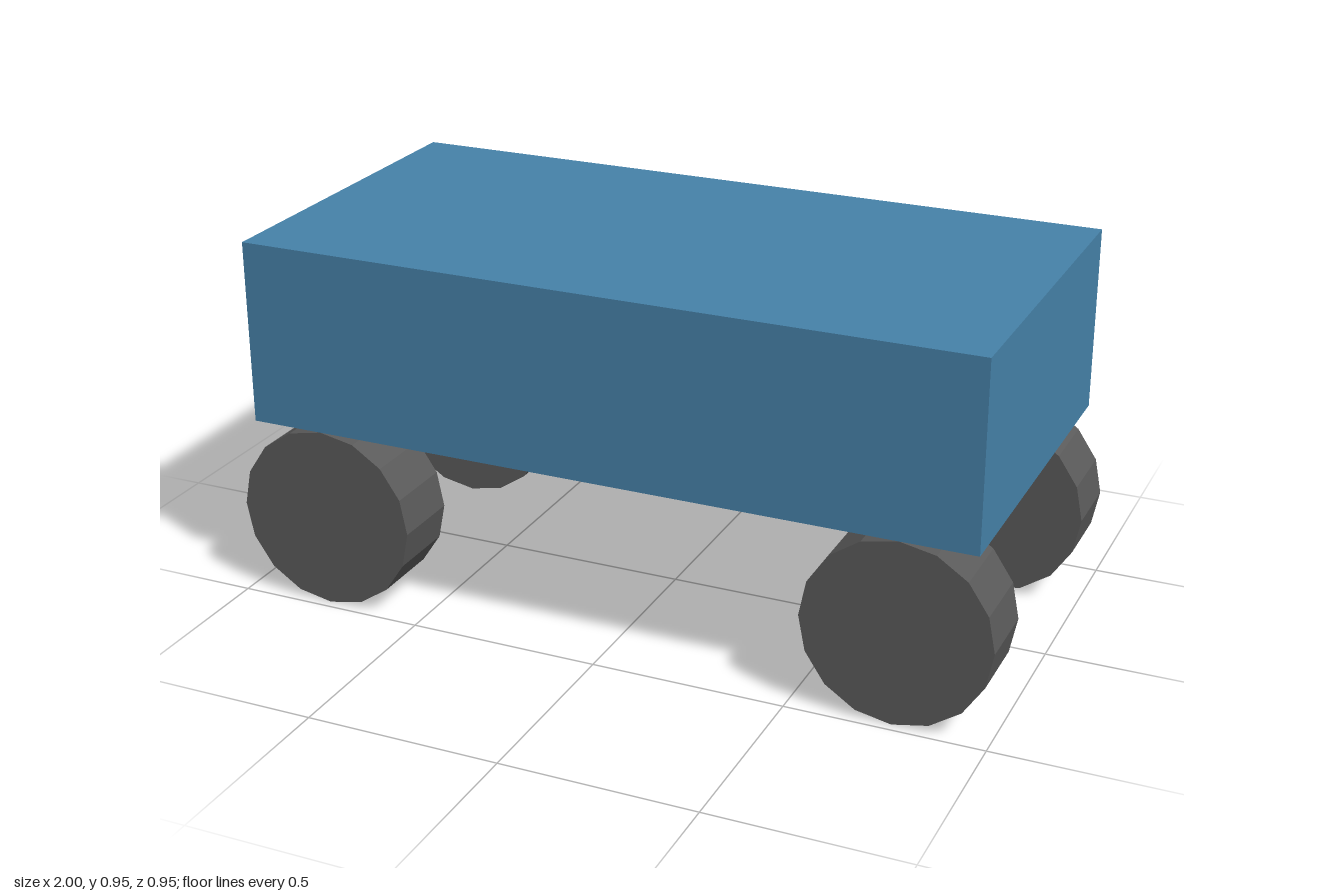
import * as THREE from 'three';

export function createModel() {
  const group = new THREE.Group();
  const blue = new THREE.MeshStandardMaterial({ color: 0x4682a9, flatShading: true });
  const dark = new THREE.MeshStandardMaterial({ color: 0x5a5a5a, flatShading: true });

  const radius = 0.238, wheelWidth = 0.19;
  const length = 1.905, height = 0.476, depth = 0.952;

  // Box body resting on top of the wheels
  const body = new THREE.Mesh(new THREE.BoxGeometry(length, height, depth), blue);
  body.name = 'body';
  body.position.y = 2 * radius + height / 2;
  group.add(body);

  // Four 16-sided wheels, outer faces flush with the body sides
  const wheelGeometry = new THREE.CylinderGeometry(radius, radius, wheelWidth, 16).rotateX(Math.PI / 2);
  for (const [side, sx] of [['left', 1], ['right', -1]]) {
    for (const [end, sz] of [['Front', 1], ['Back', -1]]) {
      const wheel = new THREE.Mesh(wheelGeometry, dark);
      wheel.name = `${side}${end}Wheel`;
      wheel.position.set(sx * 0.762, radius, sz * (depth - wheelWidth) / 2);
      group.add(wheel);
    }
  }

  return group;
}
